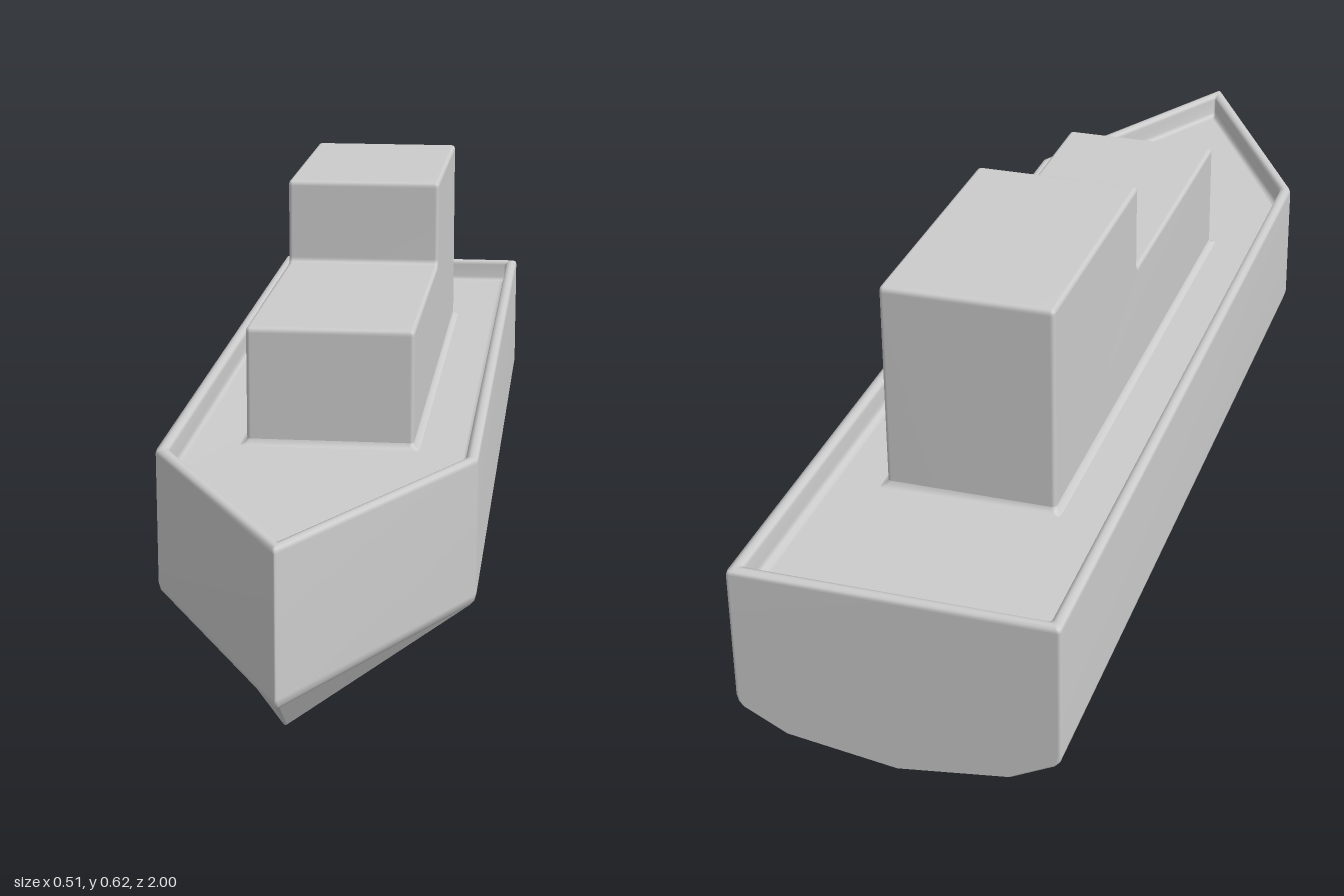
import * as THREE from 'three';
import { mergeVertices } from 'three/addons/utils/BufferGeometryUtils.js';

const V = (x, y, z) => new THREE.Vector3(x, y, z);
const BEAM = 0.257, SHOULDER = 0.535, DECK = 0.26;

// Round every corner of a closed loop with a short curve
function roundLoop(corners, r, steps = 3) {
  const n = corners.length, out = [];
  corners.forEach((c, i) => {
    const toward = (p) => p.clone().sub(c).normalize().multiplyScalar(r).add(c);
    const a = toward(corners[(i + n - 1) % n]), b = toward(corners[(i + 1) % n]);
    out.push(...new THREE.QuadraticBezierCurve3(a, c, b).getPoints(steps));
  });
  return out;
}

// Skin a stack of equal loops from bottom to top, optionally closing the top
function loft(rings, cap = false) {
  const n = rings[0].length, points = rings.flat(), index = [];
  for (let j = 0; j < rings.length - 1; j++) {
    for (let i = 0; i < n; i++) {
      const a = j * n + i, b = j * n + (i + 1) % n;
      index.push(a, a + n, b, b, a + n, b + n);
    }
  }
  if (cap) {
    const top = (rings.length - 1) * n;
    for (let i = 1; i < n - 1; i++) index.push(top, top + i + 1, top + i);
  }
  const g = new THREE.BufferGeometry().setFromPoints(points);
  g.setIndex(index);
  g.computeVertexNormals();
  return g;
}

// Pentagonal hull outline, moved inward by d (the stern by its own amount)
function outline(d, y, sternD = d) {
  const x = BEAM - d, z = SHOULDER - 0.26 * d, back = -1 + sternD, bow = 1 - 2.08 * d;
  return roundLoop([V(x, y, back), V(x, y, z), V(0, y, bow), V(-x, y, z), V(-x, y, back)], 0.006);
}

function rectangle(d, y, halfX, z0, z1) {
  const x = halfX + d;
  return roundLoop([V(x, y, z0 - d), V(x, y, z1 + d), V(-x, y, z1 + d), V(-x, y, z0 - d)], 0.008);
}

export function createModel() {
  const group = new THREE.Group();
  const smooth = new THREE.MeshStandardMaterial({ color: 0xcccccc });
  const flat = new THREE.MeshStandardMaterial({ color: 0xcccccc, flatShading: true });
  const add = (name, geometry, material) => {
    const mesh = new THREE.Mesh(geometry, material);
    mesh.name = name;
    group.add(mesh);
    return mesh;
  };

  // Shallow V bottom: keel line, bilge line, then the chine
  const bottomLoop = (x, y) => roundLoop(
    [V(x, y, -1), V(x, y, 0.55), V(0, 0, 0.9), V(-x, y, 0.55), V(-x, y, -1)], 0.006);
  const chine = outline(0.01, 0.06, 0);
  add('hullBottom', loft([bottomLoop(0, 0), bottomLoop(0.18, 0.025), chine]), flat);

  // Sides, rounded bulwark rim and recessed deck
  const section = [[0, 0.297], [0.002, 0.303], [0.008, 0.305], [0.013, 0.305],
    [0.019, 0.303], [0.021, 0.297], [0.021, 0.27], [0.024, 0.263], [0.031, DECK]];
  add('hullSidesAndDeck', loft([
    chine, outline(0.003, 0.068, 0), outline(0, 0.08),
    ...section.map(([d, y]) => outline(d, y)),
  ], true), smooth);

  // Stepped deckhouse, extruded across the beam from its side profile
  const profile = roundLoop([
    V(-0.65, 0.24, 0), V(0.345, 0.24, 0), V(0.345, 0.461, 0),
    V(-0.185, 0.461, 0), V(-0.185, 0.615, 0), V(-0.65, 0.615, 0),
  ], 0.01, 4);
  const bevel = 0.007, halfWidth = 0.14;
  const house = new THREE.ExtrudeGeometry(
    new THREE.Shape(profile.map((p) => new THREE.Vector2(p.x, p.y))), {
      depth: 2 * (halfWidth - bevel), bevelThickness: bevel, bevelSize: bevel,
      bevelOffset: -bevel, bevelSegments: 3,
    });
  house.translate(0, 0, bevel - halfWidth);
  house.rotateY(-Math.PI / 2);
  house.deleteAttribute('normal');
  house.deleteAttribute('uv');
  const houseSmooth = mergeVertices(house, 1e-5);
  houseSmooth.computeVertexNormals();
  add('deckhouse', houseSmooth, smooth);

  // Small fillet where the deckhouse meets the deck
  const fillet = [[0.01, DECK], [0.003, DECK + 0.003], [0, DECK + 0.01]];
  add('deckhouseFillet',
    loft(fillet.map(([d, y]) => rectangle(d, y, halfWidth, -0.65, 0.345))), smooth);

  return group;
}
